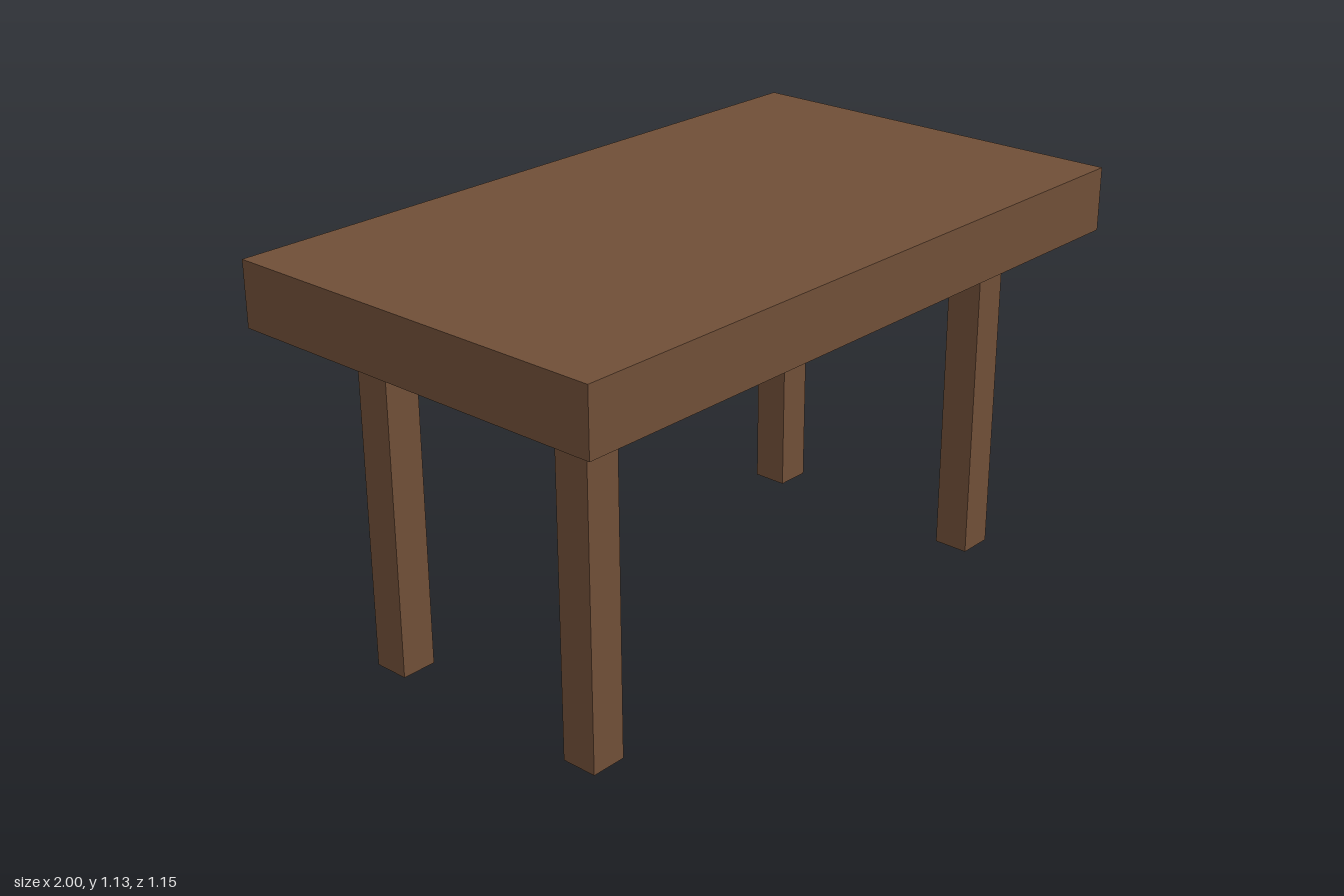
import * as THREE from 'three';

const TOP = { width: 2, height: 0.178, depth: 1.155 };
const LEG = { size: 0.102, height: 0.95, x: 0.77, z: 0.341 };

export function createModel() {
  const table = new THREE.Group();
  table.name = 'table';
  const wood = new THREE.MeshStandardMaterial({ color: 0x6f4e37 });

  // Thick rectangular slab resting on the legs
  const top = new THREE.Mesh(new THREE.BoxGeometry(TOP.width, TOP.height, TOP.depth), wood);
  top.name = 'tableTop';
  top.position.y = LEG.height + TOP.height / 2;
  table.add(top);

  // Four square legs, set in from the corners
  const legGeometry = new THREE.BoxGeometry(LEG.size, LEG.height, LEG.size);
  for (const [zName, z] of [['front', 1], ['back', -1]]) {
    for (const [xName, x] of [['Left', 1], ['Right', -1]]) {
      const leg = new THREE.Mesh(legGeometry, wood);
      leg.name = `${zName}${xName}Leg`;
      leg.position.set(x * LEG.x, LEG.height / 2, z * LEG.z);
      table.add(leg);
    }
  }
  return table;
}
